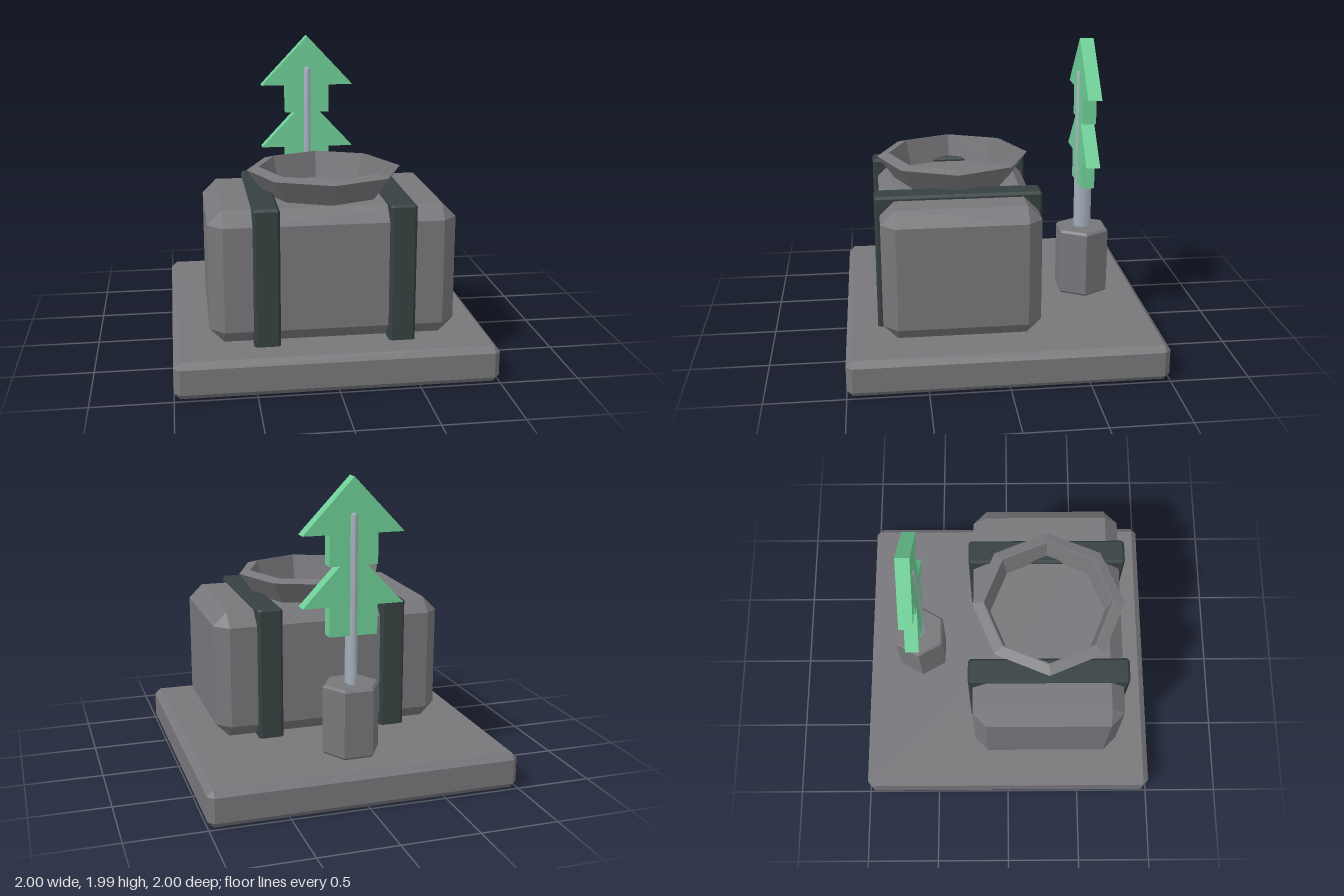
import * as THREE from 'three';
import { toCreasedNormals } from 'three/addons/utils/BufferGeometryUtils.js';
import { ConvexGeometry } from 'three/addons/geometries/ConvexGeometry.js';

const material = (name, color) => {
  const m = new THREE.MeshStandardMaterial({ color });
  m.name = name;
  return m;
};

// Box with cut edges and corners, given by its limits
function chamferBox([x0, y0, z0], [x1, y1, z1], c) {
  const half = new THREE.Vector3(x1 - x0, y1 - y0, z1 - z0).multiplyScalar(0.5);
  const points = [];
  for (const sx of [-1, 1]) for (const sy of [-1, 1]) for (const sz of [-1, 1]) {
    for (let axis = 0; axis < 3; axis++) {
      const inset = [c, c, c];
      inset[axis] = 0;
      points.push(new THREE.Vector3(
        sx * (half.x - inset[0]), sy * (half.y - inset[1]), sz * (half.z - inset[2])));
    }
  }
  return new ConvexGeometry(points).translate((x0 + x1) / 2, (y0 + y1) / 2, (z0 + z1) / 2);
}

// Turned profile; edges sharper than the crease angle stay hard
function turned(profile, sides, crease) {
  const points = profile.map(([r, y]) => new THREE.Vector2(r, y));
  return toCreasedNormals(new THREE.LatheGeometry(points, sides), crease);
}

export function createModel() {
  const model = new THREE.Group();
  const grey = material('stone grey', 0x77777b);
  const dark = material('dark strap', 0x364040);
  const steel = material('pale steel', 0xa3aeb9);
  const green = material('leaf green', 0x6fcf97);

  const add = (name, geometry, mat) => {
    const mesh = new THREE.Mesh(geometry, mat);
    mesh.name = name;
    model.add(mesh);
    return mesh;
  };

  // Square base and the block standing on it
  add('base', chamferBox([-1, 0, -1], [1, 0.235, 1], 0.038), grey);
  add('body', chamferBox([-0.77, 0.235, -0.23], [0.77, 1.08, 0.765], 0.09), grey);

  // Two straps around the block
  for (const [name, s] of [['leftStrap', 1], ['rightStrap', -1]]) {
    add(name, chamferBox([s * 0.42 - 0.082, 0.2, -0.26], [s * 0.42 + 0.082, 1.107, 0.798], 0.016), dark);
  }

  // Eight-sided flared rim, open in the middle
  add('rim', turned([
    [0.385, 1.075], [0.498, 1.23], [0.43, 1.25], [0.42, 1.25], [0.38, 1.075],
  ], 8, 0.1), grey).position.z = 0.268;

  // Six-sided pot
  const pot = turned([
    [0, 0.235], [0.172, 0.235], [0.187, 0.25], [0.187, 0.675], [0.172, 0.69], [0, 0.69],
  ], 6, 0.1);
  add('pot', pot.rotateY(Math.PI / 2), grey).position.z = -0.617;

  // Oval pole, deeper than it is wide
  const pole = turned([
    [0, 0.68], [0.06, 0.69], [0.06, 1.757], [0.05, 1.77], [0, 1.77],
  ], 8, 0.85);
  add('pole', pole.scale(0.63, 1, 1), steel).position.z = -0.617;

  // Flat two-tier tree, one half mirrored to the other
  const half = [
    [0.325, 1.64], [0.155, 1.64], [0.155, 1.445], [0.09, 1.445],
    [0.325, 1.195], [0.155, 1.195], [0.155, 1.005],
  ];
  const outline = [
    [0, 1.985], ...half, ...half.map(([x, y]) => [-x, y]).reverse(),
  ].map(([x, y]) => new THREE.Vector2(x, y));
  const tree = new THREE.ExtrudeGeometry(new THREE.Shape(outline), { depth: 0.09, bevelEnabled: false });
  add('tree', tree, green).position.z = -0.662;

  return model;
}
